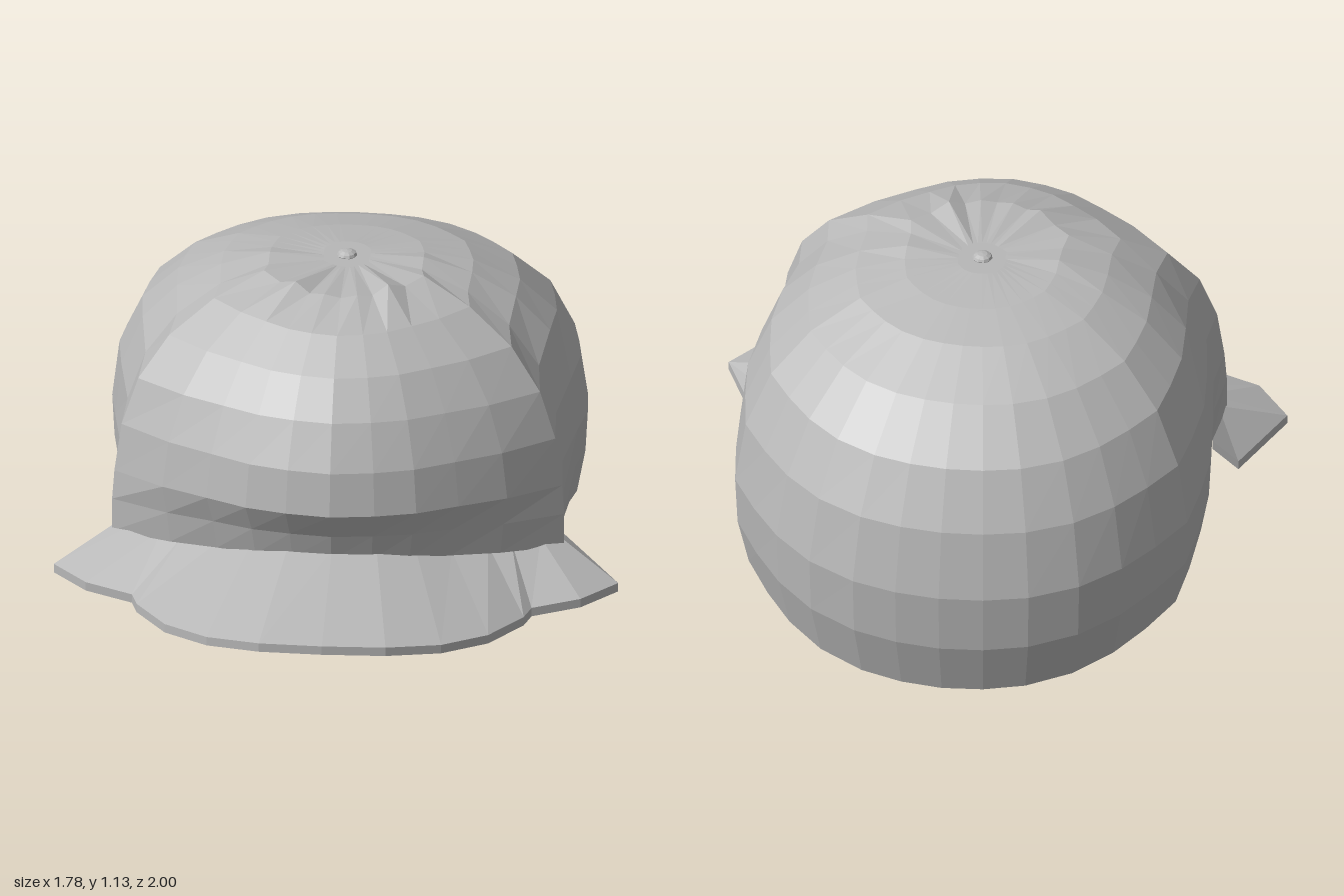
import * as THREE from 'three';

const CENTRE_Z = -0.14;

// Widest outline of the crown, left half, from front to back: [x, z]
const OUTLINE = [
  [0, 0.65], [0.14, 0.63], [0.27, 0.59], [0.4, 0.515], [0.55, 0.42], [0.72, 0.27], [0.705, 0.11],
  [0.73, -0.1], [0.75, -0.27], [0.74, -0.42], [0.72, -0.56], [0.64, -0.68], [0.55, -0.79], [0.43, -0.89],
  [0.28, -0.96], [0.14, -0.99], [0, -1],
];

// Crown profiles, bottom to top: [fraction of outline radius, height]
const FRONT = [[0.89, 0.4], [0.93, 0.5], [1, 0.6], [0.965, 0.74], [0.87, 0.88], [0.75, 0.99], [0.58, 1.07], [0.37, 1.115], [0.1, 1.11], [0, 1.11]];
const CORNER = [[0.99, 0.315], [0.99, 0.43], [0.98, 0.53], [0.95, 0.69], [0.88, 0.84], [0.75, 0.97], [0.56, 1.065], [0.35, 1.115], [0.1, 1.11], [0, 1.11]];
const SIDE = [[0.96, 0.265], [0.99, 0.4], [1, 0.53], [0.975, 0.72], [0.88, 0.89], [0.73, 1.0], [0.54, 1.075], [0.33, 1.11], [0.1, 1.11], [0, 1.11]];
const BACK = [[0.93, 0.01], [0.99, 0.2], [1, 0.4], [0.94, 0.62], [0.83, 0.8], [0.66, 0.95], [0.45, 1.045], [0.28, 1.085], [0.1, 1.11], [0, 1.11]];

// Brim half, centre to left tip: inner and outer edge points [x, y, z]
const BRIM_IN = [
  [0, 0.43, 0.55], [0.14, 0.425, 0.53], [0.26, 0.405, 0.485], [0.37, 0.375, 0.43], [0.48, 0.36, 0.36],
  [0.55, 0.355, 0.32], [0.64, 0.35, 0.28], [0.69, 0.34, 0.24], [0.69, 0.29, 0.12],
];
const BRIM_OUT = [
  [0, 0.33, 1], [0.2, 0.325, 0.985], [0.37, 0.3, 0.91], [0.51, 0.275, 0.79], [0.61, 0.25, 0.62],
  [0.63, 0.245, 0.55], [0.78, 0.25, 0.49], [0.89, 0.24, 0.36], [0.77, 0.205, 0.14],
];

// Flat-faceted skin through columns of points
function skin(columns, closeRows) {
  const rows = columns[0].length;
  const index = [];
  for (let i = 0; i < columns.length - 1; i++) {
    for (let j = 0; j < (closeRows ? rows : rows - 1); j++) {
      const k = (j + 1) % rows;
      const a = i * rows + j, b = a + rows, c = (i + 1) * rows + k, d = i * rows + k;
      index.push(a, b, c, a, c, d);
    }
  }
  const g = new THREE.BufferGeometry();
  g.setAttribute('position', new THREE.Float32BufferAttribute(columns.flat(2), 3));
  g.setIndex(index);
  const flat = g.toNonIndexed();
  flat.computeVertexNormals();
  return flat;
}

const mirrorX = ([x, y, z]) => [-x, y, z];

// Profile blended between the key profiles for one direction
function profileAt(cos) {
  const [from, to, w] = cos > 0.5 ? [CORNER, FRONT, (cos - 0.5) / 0.5]
    : cos > 0 ? [SIDE, CORNER, cos / 0.5] : [SIDE, BACK, -cos];
  return from.map(([r, y], j) => [r + (to[j][0] - r) * w, y + (to[j][1] - y) * w]);
}

// One column of the crown: down the lining, round the rim, up the outside
function crownColumn([x, z], i) {
  const dz = z - CENTRE_Z;
  const cos = dz / Math.hypot(x, dz);
  const outer = profileAt(cos).map(([r, y], j) => {
    // gathered pleats around the button, tallest on the front panel
    const pleat = j === 7 && i % 2 && i < 9 ? (i === 3 ? 0.025 : 0.008) : 0;
    return [x * r, y + pleat, CENTRE_Z + dz * r];
  });
  const inner = outer.map(([px, py, pz], j) =>
    [px * 0.965, py - 0.025 * j / 9, CENTRE_Z + (pz - CENTRE_Z) * 0.965]);
  return [...inner.reverse(), ...outer];
}

function buildCrown() {
  const half = OUTLINE.map(crownColumn);
  const other = half.slice(0, -1).reverse().map((col) => col.map(mirrorX));
  return skin([...half, ...other], false);
}

function buildBrim() {
  const t = 0.03;
  const half = BRIM_IN.map((p, i) => {
    const q = BRIM_OUT[i];
    return [[p[0], p[1] - t, p[2]], [q[0], q[1] - t, q[2]], q, p];
  });
  // collapsed end column closes the tip
  const last = half[half.length - 1];
  const mid = [0, 1, 2].map((k) => last.reduce((s, p) => s + p[k] / 4, 0));
  half.push([mid, mid, mid, mid]);
  const other = half.slice(1).reverse().map((col) => col.map(mirrorX));
  return skin([...other, ...half], true);
}

export function createModel() {
  const group = new THREE.Group();
  const grey = new THREE.MeshStandardMaterial({ color: 0xb8b8b8, flatShading: true });
  grey.name = 'grey cloth';
  const add = (name, geometry) => {
    const mesh = new THREE.Mesh(geometry, grey);
    mesh.name = name;
    group.add(mesh);
    return mesh;
  };
  add('crown', buildCrown());
  add('brim', buildBrim());

  // Small button where the gathers meet
  const button = add('button', new THREE.SphereGeometry(0.032, 10, 6));
  button.scale.y = 0.5;
  button.position.set(0, 1.112, CENTRE_Z);

  // Rest the back rim on the ground
  group.children.forEach((m) => { m.position.y -= 0.01; });
  return group;
}
